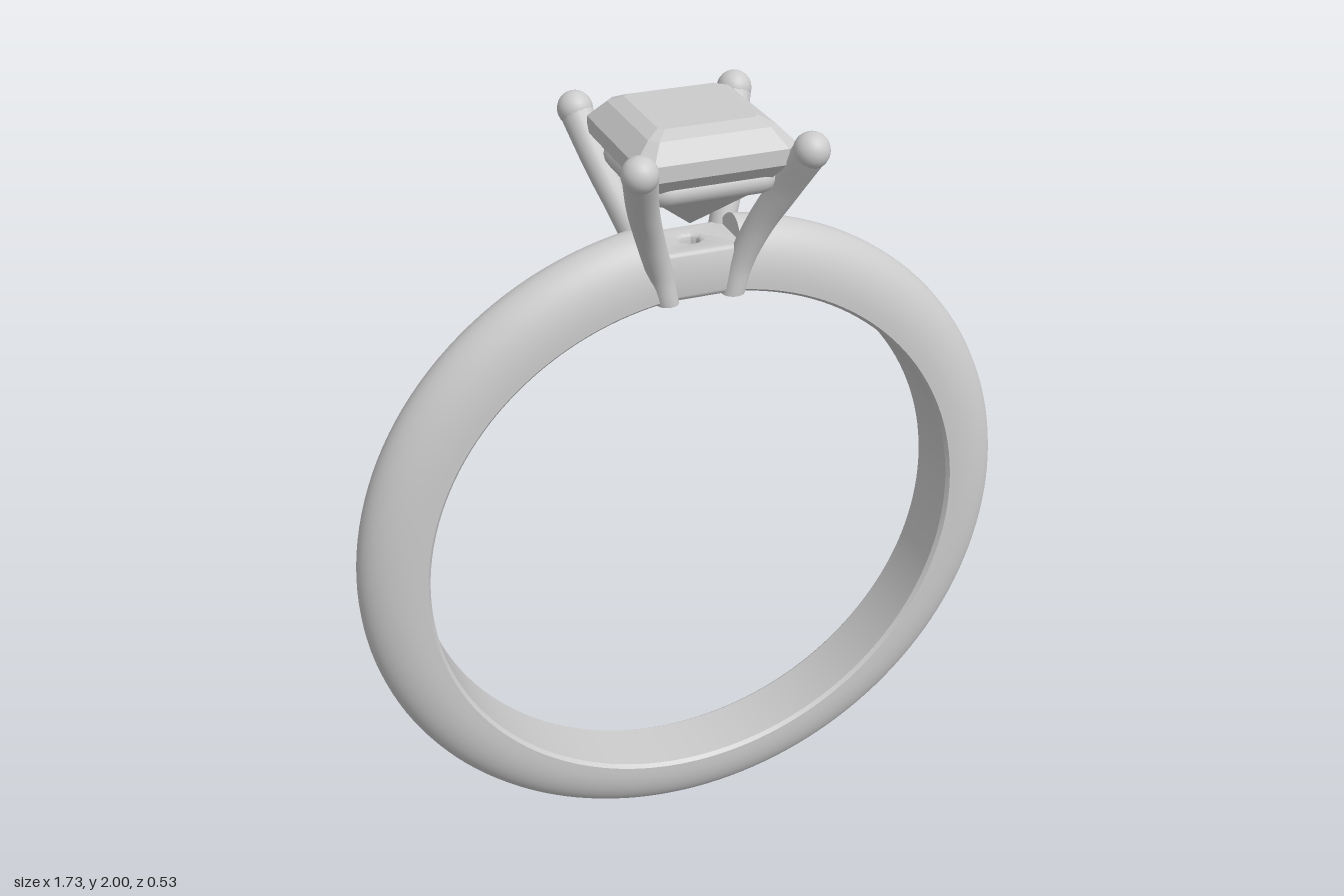
import * as THREE from 'three';
import { toCreasedNormals } from 'three/addons/utils/BufferGeometryUtils.js';
import { ConvexGeometry } from 'three/addons/geometries/ConvexGeometry.js';

const metal = new THREE.MeshStandardMaterial({ color: 0xcccccc });
const openMetal = new THREE.MeshStandardMaterial({ color: 0xcccccc, side: THREE.DoubleSide });
const stone = new THREE.MeshStandardMaterial({ color: 0xcccccc, flatShading: true });

const CENTRE_Y = 0.863, INNER = 0.703, OUTER = 0.866, HALF_WIDTH = 0.086;

function mesh(name, geometry, material = metal) {
  const m = new THREE.Mesh(geometry, material);
  m.name = name;
  return m;
}

// Band: D-shaped section swept round, leaving a gap at the top for the setting
function makeBand() {
  const group = new THREE.Group();
  group.name = 'band';
  const section = [[INNER, HALF_WIDTH - 0.01], [INNER, -HALF_WIDTH + 0.01], [INNER + 0.008, -HALF_WIDTH]]
    .map(([r, z]) => new THREE.Vector2(r, z));
  const base = INNER + 0.025;
  for (let i = 0; i <= 24; i++) {
    const a = -Math.PI / 2 + (Math.PI * i) / 24;
    section.push(new THREE.Vector2(base + (OUTER - base) * Math.cos(a), HALF_WIDTH * Math.sin(a)));
  }
  section.push(new THREE.Vector2(INNER + 0.008, HALF_WIDTH));
  const gap = 0.125;
  const sweep = new THREE.LatheGeometry([...section, section[0].clone()], 144, gap, Math.PI * 2 - gap * 2);
  group.add(mesh('shank', toCreasedNormals(sweep, 0.6)));
  for (const phi of [gap, -gap]) {
    const cap = new THREE.ShapeGeometry(new THREE.Shape(section));
    cap.rotateY(phi - Math.PI / 2);
    group.add(mesh('shankEnd', cap, openMetal));
  }
  group.rotation.x = -Math.PI / 2;
  group.position.y = CENTRE_Y;
  return group;
}

// Bridge: low block closing the gap, pierced below the stone
function makeBridge() {
  const x = 0.105, z = 0.066, bevel = 0.014;
  const shape = new THREE.Shape();
  shape.moveTo(-x, -z).lineTo(x, -z).lineTo(x, z).lineTo(-x, z).closePath();
  shape.holes.push(new THREE.Path().absarc(0, 0, 0.036, 0, Math.PI * 2, true));
  const g = new THREE.ExtrudeGeometry(shape, {
    depth: 0.12 - bevel * 2, bevelSize: bevel, bevelThickness: bevel, bevelSegments: 4, curveSegments: 24,
  });
  g.rotateX(-Math.PI / 2).translate(0, 1.558 + bevel, 0);
  return mesh('bridge', toCreasedNormals(g, 0.6));
}

// Prong: curved wire that thickens towards a ball tip
function makeProng(sx, sz) {
  const group = new THREE.Group();
  group.name = 'prong';
  const path = new THREE.CatmullRomCurve3(
    [[0.083, 1.555, 0.066], [0.1, 1.63, 0.069], [0.133, 1.73, 0.097], [0.168, 1.83, 0.149], [0.2, 1.945, 0.222]]
      .map(([x, y, z]) => new THREE.Vector3(x * sx, y, z * sz)));
  const rings = 32, sides = 16;
  const tube = new THREE.TubeGeometry(path, rings, 1, sides);
  const pos = tube.attributes.position, v = new THREE.Vector3();
  for (let i = 0; i < pos.count; i++) {
    const t = Math.floor(i / (sides + 1)) / rings;
    const c = path.getPointAt(t);
    v.fromBufferAttribute(pos, i).sub(c).multiplyScalar(0.029 + 0.011 * t).add(c);
    if (t === 0) v.y = 1.555;
    pos.setXYZ(i, v.x, v.y, v.z);
  }
  const foot = new THREE.CircleGeometry(0.029, sides).rotateX(Math.PI / 2);
  foot.translate(0.083 * sx, 1.555, 0.066 * sz);
  const tip = new THREE.SphereGeometry(0.042, 24, 16).translate(0.2 * sx, 1.945, 0.222 * sz);
  group.add(mesh('prongWire', tube), mesh('prongFoot', foot, openMetal), mesh('prongTip', tip));
  return group;
}

// Gallery rail: round wire on a rounded square path below the stone's edge
function makeRail() {
  const x = 0.135, z = 0.143, r = 0.035;
  const path = new THREE.CurvePath();
  const at = (px, pz) => new THREE.Vector3(px, 1.862, pz);
  const corners = [[1, 1], [-1, 1], [-1, -1], [1, -1]];
  corners.forEach(([sx, sz], i) => {
    const along = i % 2 === 0;
    const a = at(sx * (x - (along ? 0 : r)), sz * (z - (along ? r : 0)));
    const b = at(sx * (x - (along ? r : 0)), sz * (z - (along ? 0 : r)));
    const [nx, nz] = corners[(i + 1) % 4];
    const c = at(nx * (x - (along ? r : 0)), nz * (z - (along ? 0 : r)));
    path.add(new THREE.QuadraticBezierCurve3(a, at(sx * x, sz * z), b));
    path.add(new THREE.LineCurve3(b, along ? c : at(nx * x, nz * (z - r))));
  });
  return mesh('galleryRail', new THREE.TubeGeometry(path, 160, 0.032, 16, true));
}

// Stone: square cut with clipped corners, stepped crown and pointed base
function makeStone() {
  const points = [new THREE.Vector3(0, 1.715, 0)];
  const layers = [ // half x, half z, corner clip, y
    [0.118, 0.122, 0.012, 2.0], [0.15, 0.156, 0.02, 1.985], [0.19, 0.197, 0.032, 1.945],
    [0.19, 0.197, 0.032, 1.908], [0.12, 0.125, 0.02, 1.822],
  ];
  for (const [x, z, c, y] of layers)
    for (const sx of [-1, 1]) for (const sz of [-1, 1])
      points.push(new THREE.Vector3(sx * x, y, sz * (z - c)), new THREE.Vector3(sx * (x - c), y, sz * z));
  return mesh('stone', new ConvexGeometry(points), stone);
}

export function createModel() {
  const model = new THREE.Group();
  model.name = 'ring';
  model.add(makeBand(), makeBridge(), makeRail(), makeStone());
  for (const sx of [-1, 1]) for (const sz of [-1, 1]) model.add(makeProng(sx, sz));
  return model;
}
